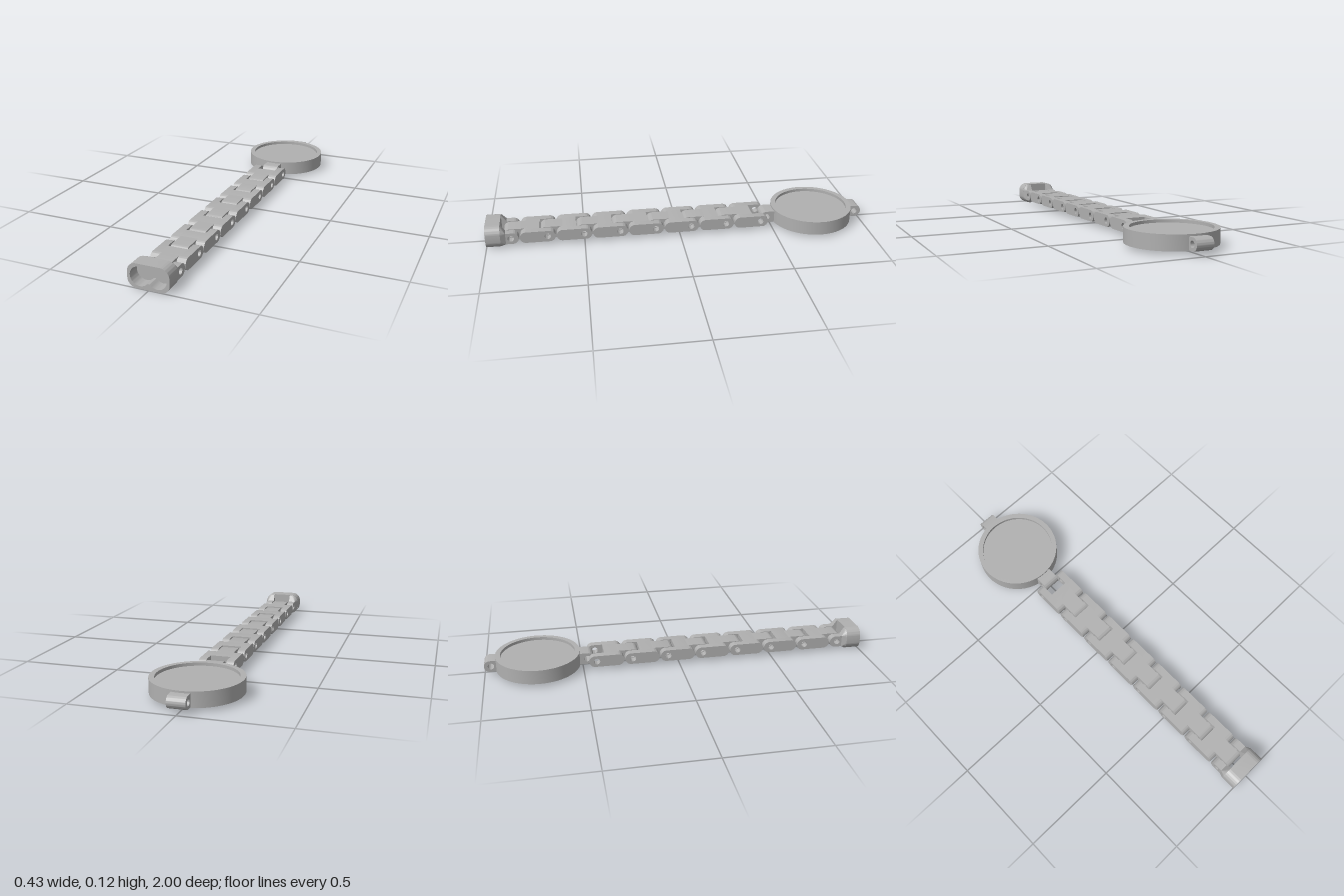
import * as THREE from 'three';
import { toCreasedNormals } from 'three/addons/utils/BufferGeometryUtils.js';
import { ConvexGeometry } from 'three/addons/geometries/ConvexGeometry.js';

const MID = 0.05;      // height of the chain's centre line
const R = 0.03;        // half thickness of the chain
const PIN = 0.016;     // pin hole radius
const PITCH = 0.1864;
const FIRST = -0.471;  // fork end of the first link
const OUT = 0.088, SLOT = 0.05, TONGUE = 0.043;

export function createModel() {
  const metal = new THREE.MeshStandardMaterial({ color: 0xb0b0b0 });
  metal.name = 'greyMetal';
  const model = new THREE.Group();
  model.name = 'linkedBracelet';

  const add = (parent, name, geometry) => {
    const mesh = new THREE.Mesh(geometry, metal);
    mesh.name = name;
    parent.add(mesh);
    return mesh;
  };

  // Side profile running from z0 to z1, extruded across x0..x1
  const plate = (x0, x1, z0, z1, roundStart, roundEnd, pinZ) => {
    const s = new THREE.Shape();
    if (roundStart) s.absarc(z0 + R, MID, R, Math.PI / 2, Math.PI * 1.5, false);
    else { s.moveTo(z0, MID + R); s.lineTo(z0, MID - R); }
    if (roundEnd) s.absarc(z1 - R, MID, R, -Math.PI / 2, Math.PI / 2, false);
    else { s.lineTo(z1, MID - R); s.lineTo(z1, MID + R); }
    s.closePath();
    if (pinZ !== undefined) {
      s.holes.push(new THREE.Path().absarc(pinZ, MID, PIN, 0, Math.PI * 2, true));
    }
    const g = new THREE.ExtrudeGeometry(s, { depth: x1 - x0, bevelEnabled: false, curveSegments: 16 });
    g.rotateY(-Math.PI / 2);
    g.translate(x1, 0, 0);
    return toCreasedNormals(g, 0.6);
  };

  // Chain links: two outer bars, a middle body and a tongue into the next fork
  for (let i = 0; i < 7; i++) {
    const z = FIRST + i * PITCH;
    const link = new THREE.Group();
    link.name = 'link' + (i + 1);
    add(link, 'leftBar', plate(SLOT, OUT, z, z + 0.18, true, true, z + 0.04));
    add(link, 'rightBar', plate(-OUT, -SLOT, z, z + 0.18, true, true, z + 0.04));
    add(link, 'linkBody', plate(-SLOT, SLOT, z + 0.08, z + 0.18, false, true));
    add(link, 'tongue', plate(-TONGUE, TONGUE, z + 0.15, z + 0.265, false, true, z + 0.04 + PITCH));
    model.add(link);
  }

  // Round case with a raised rim
  const r = 0.216, inner = 0.19, low = 0.016, high = 0.089, floor = 0.074;
  const profile = [[0, low], [r, low], [r, high], [inner, high], [inner, floor], [0, floor]]
    .map(([x, y]) => new THREE.Vector2(x, y));
  const disc = add(model, 'roundCase', toCreasedNormals(new THREE.LatheGeometry(profile, 64), 0.6));
  disc.position.z = -0.728;
  add(model, 'frontLug', plate(-TONGUE, TONGUE, -0.526, -0.443, false, true, -0.477));
  add(model, 'rearLug', plate(-TONGUE, TONGUE, -1, -0.93, true, false, -0.965));

  // Clasp block with a figure-eight pocket
  const clasp = new THREE.Group();
  clasp.name = 'clasp';
  model.add(clasp);
  const W = 0.101, H = 0.059, C = 0.045;
  const outline = () => {
    const s = new THREE.Shape();
    s.absarc(W - C, H - C, C, 0, Math.PI / 2, false);
    s.absarc(C - W, H - C, C, Math.PI / 2, Math.PI, false);
    s.absarc(C - W, C - H, C, Math.PI, Math.PI * 1.5, false);
    s.absarc(W - C, C - H, C, Math.PI * 1.5, Math.PI * 2, false);
    s.closePath();
    return s;
  };
  const extrudeBlock = (shape, z0, z1) => {
    const g = new THREE.ExtrudeGeometry(shape, { depth: z1 - z0, bevelEnabled: false, curveSegments: 16 });
    g.translate(0, H, z0);
    return toCreasedNormals(g, 0.6);
  };
  const cx = 0.042, fy = 0.04, lobe = 0.046, fillet = 0.012;
  const a = Math.atan2(fy, -cx), b = Math.PI - a;
  const pocket = new THREE.Path();
  pocket.absarc(cx, 0, lobe, -a, a, false);
  pocket.absarc(0, fy, fillet, -b, -a, true);
  pocket.absarc(-cx, 0, lobe, b, Math.PI * 2 - b, false);
  pocket.absarc(0, -fy, fillet, a, b, true);
  const ring = outline();
  ring.holes.push(pocket);
  add(clasp, 'claspShell', extrudeBlock(ring, 0.94, 1));
  add(clasp, 'claspBackWall', extrudeBlock(outline(), 0.925, 0.94));

  // Clasp arms, each flaring out into the block
  const z = FIRST + 7 * PITCH;
  for (const side of [1, -1]) {
    const name = side > 0 ? 'left' : 'right';
    const [x0, x1] = side > 0 ? [SLOT, OUT] : [-OUT, -SLOT];
    add(clasp, name + 'ClaspArm', plate(x0, x1, z, 0.926, true, false, z + 0.04));
    const pts = [];
    for (const x of [SLOT, OUT]) {
      for (const y of [MID - R, MID + R]) pts.push(new THREE.Vector3(side * x, y, 0.9));
    }
    for (const y of [0, 2 * H]) pts.push(new THREE.Vector3(side * SLOT, y, 0.926));
    for (let i = 0; i <= 8; i++) {
      const t = (i / 8) * Math.PI / 2;
      const x = side * (W - C + C * Math.cos(t)), dy = H - C + C * Math.sin(t);
      for (const s of [1, -1]) pts.push(new THREE.Vector3(x, H + s * dy, 0.926));
    }
    add(clasp, name + 'ClaspFlare', new ConvexGeometry(pts));
  }

  return model;
}
